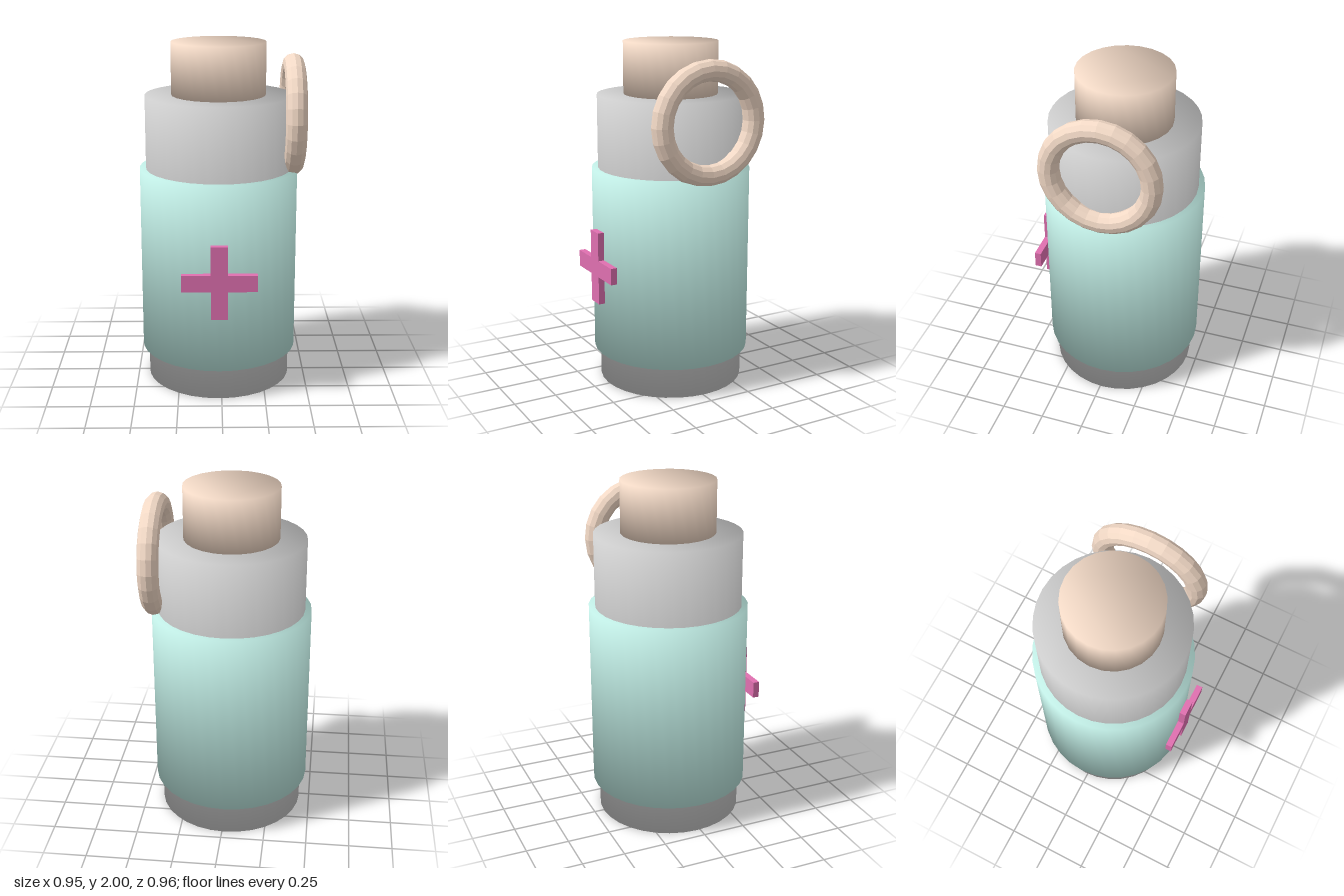
import * as THREE from 'three';

const CX = -0.014, CZ = -0.019; // axis of the flask

const material = (color, flatShading = false) => new THREE.MeshStandardMaterial({ color, flatShading });

function add(group, name, geometry, mat, x, y, z) {
  const mesh = new THREE.Mesh(geometry, mat);
  mesh.name = name;
  mesh.position.set(x, y, z);
  group.add(mesh);
  return mesh;
}

// Upright capped drum whose normals blend softly across the rims
function softDrum(radius, height, sides) {
  const points = [];
  for (let i = 0; i < sides; i++) {
    const a = (i / sides) * Math.PI * 2;
    points.push(new THREE.Vector2(Math.cos(a) * radius, Math.sin(a) * radius));
  }
  const geometry = new THREE.ExtrudeGeometry(new THREE.Shape(points), { depth: height, bevelEnabled: false });
  geometry.rotateX(-Math.PI / 2);
  const pos = geometry.attributes.position, n = new THREE.Vector3();
  for (let i = 0; i < pos.count; i++) {
    n.set(pos.getX(i) / radius, pos.getY(i) > height / 2 ? 1 : -1, pos.getZ(i) / radius).normalize();
    geometry.attributes.normal.setXYZ(i, n.x, n.y, n.z);
  }
  return geometry;
}

// Plus-shaped plate: one arm end, turned four times
function crossPlate(reach, half, depth) {
  const points = [];
  for (let i = 0; i < 4; i++) {
    const a = (i * Math.PI) / 2;
    for (const [x, y] of [[reach, -half], [reach, half], [half, half]]) {
      points.push(new THREE.Vector2(x, y).rotateAround(new THREE.Vector2(), a));
    }
  }
  return new THREE.ExtrudeGeometry(new THREE.Shape(points), { depth, bevelEnabled: false });
}

export function createModel() {
  const group = new THREE.Group();
  group.name = 'flask';
  const tan = 0xf2d9c6;

  // Inner bottle, outer sleeve and stopper
  add(group, 'bottle', softDrum(0.423, 1.7, 32), material(0xcccccc), CX, 0, CZ);
  add(group, 'sleeve', softDrum(0.459, 1.09, 32), material(0xc0ece4), CX, 0.187, CZ);
  add(group, 'stopper', softDrum(0.271, 0.3, 24), material(tan), CX, 1.7, CZ);

  // Raised cross on the front
  add(group, 'cross', crossPlate(0.212, 0.048, 0.037), material(0xe070b0, true), CX, 0.73, 0.441);

  // Carrying ring on the left side
  const ring = add(group, 'ring', new THREE.TorusGeometry(0.288, 0.06, 12, 24), material(tan, true), 0.413, 1.584, CZ);
  ring.rotation.y = Math.PI / 2;

  return group;
}
